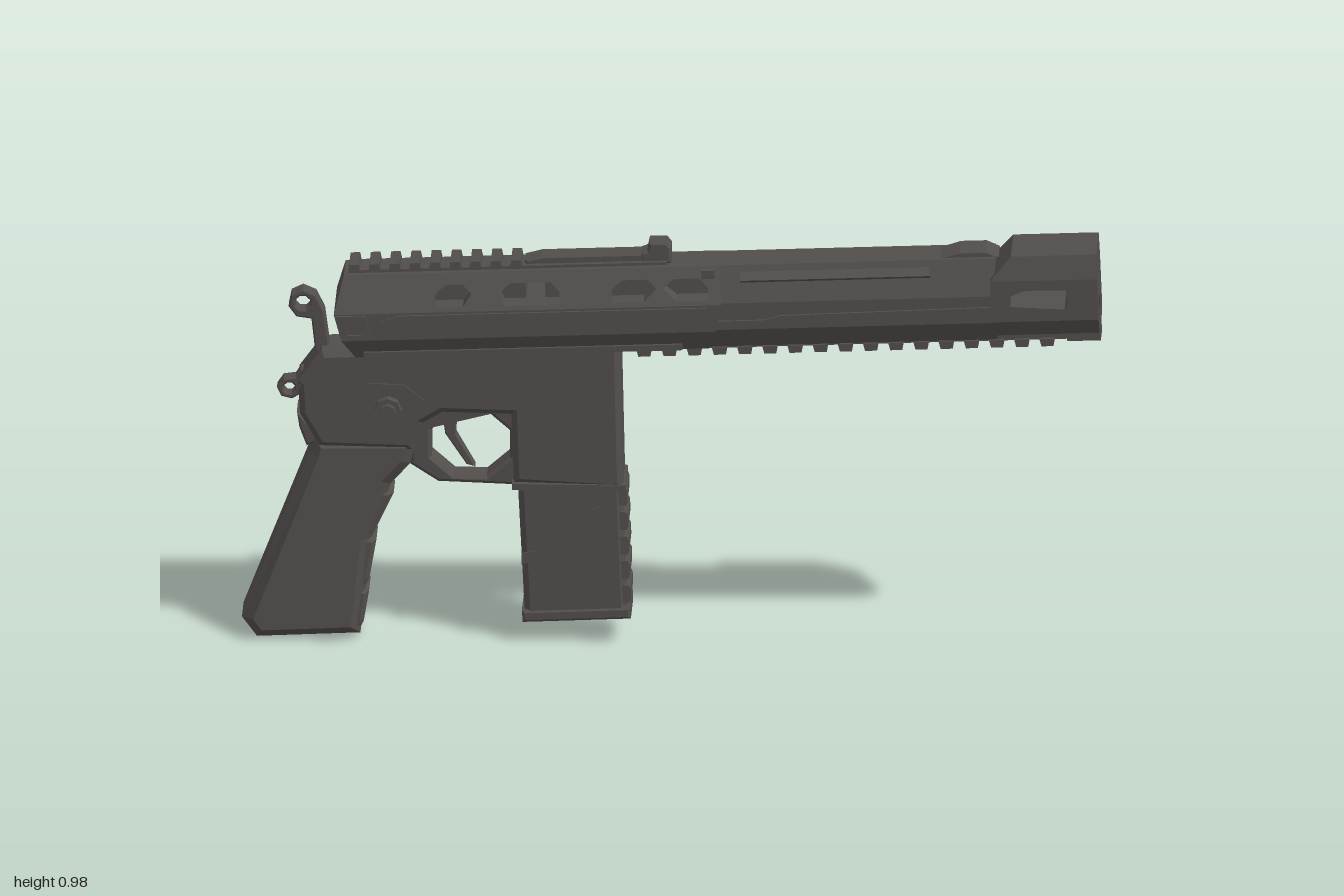
import * as THREE from 'three';

const steel = new THREE.MeshStandardMaterial({ color: 0x524e4c });
steel.name = 'dark steel';

function add(parent, name, geo) {
  const mesh = new THREE.Mesh(geo, steel);
  mesh.name = name;
  parent.add(mesh);
  return mesh;
}

const toShape = (pts, holes = []) => {
  const shape = new THREE.Shape(pts.map(p => new THREE.Vector2(...p)));
  shape.holes = holes.map(h => new THREE.Path(h.map(p => new THREE.Vector2(...p))));
  return shape;
};

// Side outline extruded across z with chamfered edges; widen(x, y) scales the thickness
function plate(parent, name, pts, half, bevel = 0, holes = [], widen = null) {
  const geo = new THREE.ExtrudeGeometry(toShape(pts, holes), {
    depth: 2 * (half - bevel), bevelEnabled: bevel > 0, bevelThickness: bevel,
    bevelSize: bevel, bevelOffset: -bevel, bevelSegments: 1, curveSegments: 8,
  });
  geo.translate(0, 0, -(half - bevel));
  if (widen) {
    const p = geo.attributes.position;
    for (let i = 0; i < p.count; i++) p.setZ(i, p.getZ(i) * widen(p.getX(i), p.getY(i)));
    geo.computeVertexNormals();
  }
  return add(parent, name, geo);
}

// Horizontal layer whose half width runs from w0 at y0 to w1 at y1
function band(parent, name, pts, [y0, w0], [y1, w1], holes = []) {
  return plate(parent, name, pts, 1, 0, holes, (x, y) => w0 + (w1 - w0) * (y - y0) / (y1 - y0));
}

function box(parent, name, x0, x1, y0, y1, z0, z1) {
  const m = add(parent, name, new THREE.BoxGeometry(x1 - x0, y1 - y0, z1 - z0));
  m.position.set((x0 + x1) / 2, (y0 + y1) / 2, (z0 + z1) / 2);
  return m;
}

function disc(parent, name, r, depth, sides, x, y, z) {
  const geo = new THREE.CylinderGeometry(r, r, depth, sides).toNonIndexed();
  geo.computeVertexNormals();
  geo.rotateX(Math.PI / 2);
  const m = add(parent, name, geo);
  m.position.set(x, y, z);
  return m;
}

const ngon = (cx, cy, rx, ry, n) => Array.from({ length: n }, (_, i) => {
  const a = (i + 0.5) / n * Math.PI * 2;
  return [cx + rx * Math.cos(a), cy + ry * Math.sin(a)];
});

// Stack of bands: rows of [y, half width, rear x, front x]
function stack(parent, name, rows, holesByRow = {}) {
  for (let i = 0; i + 1 < rows.length; i++) {
    const [y0, w0, a0, b0] = rows[i], [y1, w1, a1, b1] = rows[i + 1];
    band(parent, name, [[a0, y0], [b0, y0], [b1, y1], [a1, y1]], [y0, w0], [y1, w1], holesByRow[i]);
  }
}

function buildUpper(upper) {
  // Receiver with side openings in the sloped upper band
  const opening = (a, b, s0, s1) => [[a + s0, 0.86], [b - s1, 0.86], [b, 0.886], [b - 0.02, 0.906], [a + 0.025, 0.906], [a, 0.886]];
  stack(upper, 'receiver', [
    [0.735, 0.072, -0.70, 0.12], [0.785, 0.098, -0.73, 0.14],
    [0.85, 0.098, -0.745, 0.155], [0.931, 0.052, -0.72, 0.155],
  ], { 2: [opening(-0.51, -0.425, 0, 0.02), opening(-0.36, -0.22, 0.01, 0),
    opening(-0.10, 0.005, 0, 0.03), opening(0.02, 0.125, 0.03, 0)] });
  box(upper, 'receiverCore', -0.70, -0.30, 0.74, 0.925, -0.04, 0.04);
  box(upper, 'receiverCore', -0.255, 0.15, 0.74, 0.925, -0.04, 0.04);

  // Barrel shroud
  stack(upper, 'barrelShroud', [
    [0.735, 0.06, 0.12, 0.79], [0.785, 0.087, 0.14, 0.79],
    [0.85, 0.087, 0.15, 0.79], [0.931, 0.05, 0.15, 0.79],
  ]);
  plate(upper, 'shroudLump', [[0.66, 0.93], [0.71, 0.945], [0.77, 0.945], [0.80, 0.93]], 0.04, 0.004);

  // Muzzle with a see-through side window
  stack(upper, 'muzzle', [
    [0.748, 0.07, 0.78, 1.028], [0.788, 0.092, 0.78, 1.028],
    [0.888, 0.092, 0.78, 1.028], [0.943, 0.076, 0.83, 1.028],
  ], { 1: [[[0.825, 0.825], [0.95, 0.815], [0.96, 0.83], [0.955, 0.862], [0.86, 0.864], [0.825, 0.85]]] });
  box(upper, 'muzzleTab', 0.95, 1.028, 0.716, 0.75, -0.033, 0.033);
  const bore = disc(upper, 'bore', 0.043, 0.006, 8, 1.027, 0.83, 0);
  bore.rotation.y = Math.PI / 2;

  for (const s of [-1, 1]) {
    // Raised side panels
    plate(upper, 'shroudSidePanel', [[0.10, 0.79], [0.15, 0.79], [0.78, 0.79], [0.78, 0.825], [0.29, 0.818], [0.25, 0.808], [0.14, 0.808]], 0.004)
      .position.z = s * 0.089;
    plate(upper, 'receiverSidePanel', [[-0.64, 0.79], [0.08, 0.79], [0.12, 0.81], [0.12, 0.845], [-0.60, 0.845], [-0.64, 0.83]], 0.004)
      .position.z = s * 0.1;
    plate(upper, 'rearFrame', [[-0.73, 0.79], [-0.66, 0.79], [-0.67, 0.845], [-0.742, 0.848]], 0.004, 0,
      [[[-0.715, 0.80], [-0.68, 0.80], [-0.685, 0.835], [-0.72, 0.837]]]).position.z = s * 0.1;
    box(upper, 'lowerLip', -0.68, 0.06, 0.738, 0.752, s * 0.078 - 0.01, s * 0.078 + 0.01);
    // Long ribs on the top edges of the shroud
    const rib = box(upper, 'topRib', 0.20, 0.64, 0.902, 0.91, s * 0.066 - 0.012, s * 0.066 + 0.012);
    rib.rotation.x = s * 0.72;
    box(upper, 'shroudLatch', 0.11, 0.14, 0.905, 0.925, s * 0.062 - 0.008, s * 0.062 + 0.008);
  }

  // Top rail, cover and sight
  box(upper, 'topRailBase', -0.71, 0.03, 0.928, 0.938, -0.038, 0.038);
  for (let i = 0; i < 9; i++) {
    const x = -0.71 + i * 0.047;
    plate(upper, 'topRailTooth', [[x, 0.935], [x + 0.028, 0.935], [x + 0.025, 0.953], [x + 0.003, 0.953]], 0.043);
  }
  plate(upper, 'topCover', [[-0.30, 0.93], [-0.02, 0.93], [-0.02, 0.957], [-0.26, 0.957], [-0.30, 0.948]], 0.026, 0.006);
  plate(upper, 'sight', [[-0.03, 0.93], [0.04, 0.93], [0.04, 0.968], [0.03, 0.982], [-0.01, 0.982], [-0.015, 0.962], [-0.03, 0.957]], 0.028, 0.005);

  // Ejection port frame and bolt handle on the far side
  box(upper, 'boltHandle', -0.34, -0.29, 0.868, 0.888, -0.108, -0.04);
  box(upper, 'ejectionPortLip', -0.37, -0.12, 0.846, 0.858, -0.104, -0.085);

  // Lower rail
  box(upper, 'lowerRailBase', -0.05, 0.96, 0.722, 0.75, -0.033, 0.033);
  for (let i = 0; i < 17; i++) {
    const x = -0.05 + i * 0.0585;
    plate(upper, 'lowerRailTooth', [[x, 0.726], [x + 0.004, 0.708], [x + 0.032, 0.708], [x + 0.036, 0.726]], 0.042);
  }
}

function buildLower(gun) {
  // Frame and magazine well
  plate(gun, 'frame', [[-0.81, 0.715], [-0.825, 0.695], [-0.865, 0.64], [-0.86, 0.56], [-0.815, 0.48],
    [-0.60, 0.475], [-0.575, 0.54], [-0.53, 0.568], [-0.37, 0.565], [-0.364, 0.396], [-0.11, 0.385], [-0.118, 0.745], [-0.38, 0.735]],
  0.068, 0.014);
  box(gun, 'magazineWellLip', -0.368, -0.104, 0.383, 0.398, -0.071, 0.071);
  for (const s of [-1, 1]) {
    plate(gun, 'frameSidePanel', [[-0.70, 0.64], [-0.62, 0.64], [-0.57, 0.60], [-0.58, 0.56], [-0.64, 0.52], [-0.69, 0.55]], 0.003)
      .position.z = s * 0.069;
  }
  disc(gun, 'selectorBoss', 0.032, 0.03, 8, -0.655, 0.58, 0.08);
  disc(gun, 'selectorKnob', 0.02, 0.016, 8, -0.655, 0.58, 0.1);
  disc(gun, 'magazineRelease', 0.016, 0.016, 8, -0.40, 0.60, -0.07);

  // Trigger guard and trigger
  plate(gun, 'triggerGuard', [[-0.61, 0.57], [-0.605, 0.43], [-0.54, 0.388], [-0.355, 0.382], [-0.355, 0.58]],
    0.036, 0.008, [ngon(-0.465, 0.483, 0.098, 0.086, 8)]);
  plate(gun, 'trigger', [[-0.535, 0.58], [-0.495, 0.58], [-0.50, 0.50], [-0.455, 0.42], [-0.475, 0.425], [-0.525, 0.50]], 0.016, 0.003);

  // Grip, wider at the foot
  const flare = (x, y) => 1 + 0.34 * (0.48 - y) / 0.48;
  plate(gun, 'grip', [[-0.83, 0.50], [-0.84, 0.46], [-0.995, 0.055], [-0.96, 0.008], [-0.72, 0.02], [-0.695, 0.25],
    [-0.65, 0.385], [-0.605, 0.435], [-0.59, 0.50]], 0.062, 0.024, [], flare);
  plate(gun, 'gripSpur', [[-0.81, 0.49], [-0.868, 0.56], [-0.862, 0.52], [-0.845, 0.475]], 0.045, 0.006);
  // Finger pads on the front strap
  const strap = [[-0.725, 0.03], [-0.712, 0.135], [-0.695, 0.26], [-0.655, 0.375]];
  for (let i = 0; i < 3; i++) {
    const [x0, y0] = strap[i], [x1, y1] = strap[i + 1];
    plate(gun, 'fingerPad', [[x0 - 0.07, y0], [x0 + 0.004, y0], [x0 + 0.013, y0 + 0.02], [x1 + 0.012, y1 - 0.012], [x1, y1 - 0.006], [x1 - 0.07, y1 - 0.006]],
      0.048, 0.01, [], flare);
  }

  // Hammer with ring, and lanyard loop
  plate(gun, 'hammer', [[-0.79, 0.69], [-0.825, 0.69], [-0.835, 0.78], [-0.87, 0.785], [-0.888, 0.81], [-0.882, 0.84], [-0.855, 0.853],
    [-0.825, 0.84], [-0.805, 0.80]], 0.022, 0.004, [ngon(-0.855, 0.819, 0.018, 0.018, 8)]);
  plate(gun, 'lanyardLoop', [[-0.83, 0.66], [-0.86, 0.655], [-0.872, 0.636], [-0.9, 0.632], [-0.915, 0.61], [-0.905, 0.588], [-0.88, 0.582],
    [-0.85, 0.60], [-0.83, 0.61]], 0.02, 0.004, [ngon(-0.886, 0.608, 0.014, 0.014, 8)]);
  disc(gun, 'loopPin', 0.012, 0.12, 8, -0.85, 0.63, 0);
}

function buildMagazine(gun) {
  const mag = new THREE.Group();
  mag.name = 'magazine';
  gun.add(mag);
  plate(mag, 'magazineBody', [[-0.355, 0.40], [-0.338, 0.062], [-0.10, 0.075], [-0.112, 0.40]], 0.066, 0.014);
  plate(mag, 'magazineFloor', [[-0.345, 0.085], [-0.343, 0.056], [-0.092, 0.068], [-0.093, 0.097]], 0.07, 0.006);
  // Ribs on the front face
  for (let i = 0; i < 5; i++) {
    const y = 0.105 + i * 0.06, x = -0.102 - i * 0.002;
    plate(mag, 'frontRib', [[x - 0.03, y], [x + 0.006, y], [x + 0.01, y + 0.008], [x + 0.009, y + 0.036], [x + 0.004, y + 0.044], [x - 0.03, y + 0.044]], 0.062);
  }
  // Raised side details
  for (const s of [-1, 1]) {
    const z = s * 0.067;
    plate(mag, 'diagonalRib', [[-0.345, 0.20], [-0.30, 0.215], [-0.18, 0.31], [-0.165, 0.345], [-0.19, 0.335], [-0.31, 0.235], [-0.345, 0.225]], 0.004).position.z = z;
    plate(mag, 'lowerPanel', [[-0.272, 0.095], [-0.15, 0.10], [-0.16, 0.265], [-0.278, 0.185]], 0.003).position.z = z;
    plate(mag, 'edgeStrip', [[-0.14, 0.10], [-0.122, 0.10], [-0.132, 0.385], [-0.15, 0.385]], 0.003).position.z = z;
  }
}

export function createModel() {
  const model = new THREE.Group();
  model.name = 'propPistol';
  // The whole piece is turned slightly, and its upper half tips upward
  const gun = new THREE.Group();
  gun.name = 'body';
  gun.rotation.y = 0.0635;
  model.add(gun);
  const upper = new THREE.Group();
  upper.name = 'upperAssembly';
  upper.rotation.z = 0.042;
  gun.add(upper);
  buildUpper(upper);
  buildLower(gun);
  buildMagazine(gun);
  return model;
}
